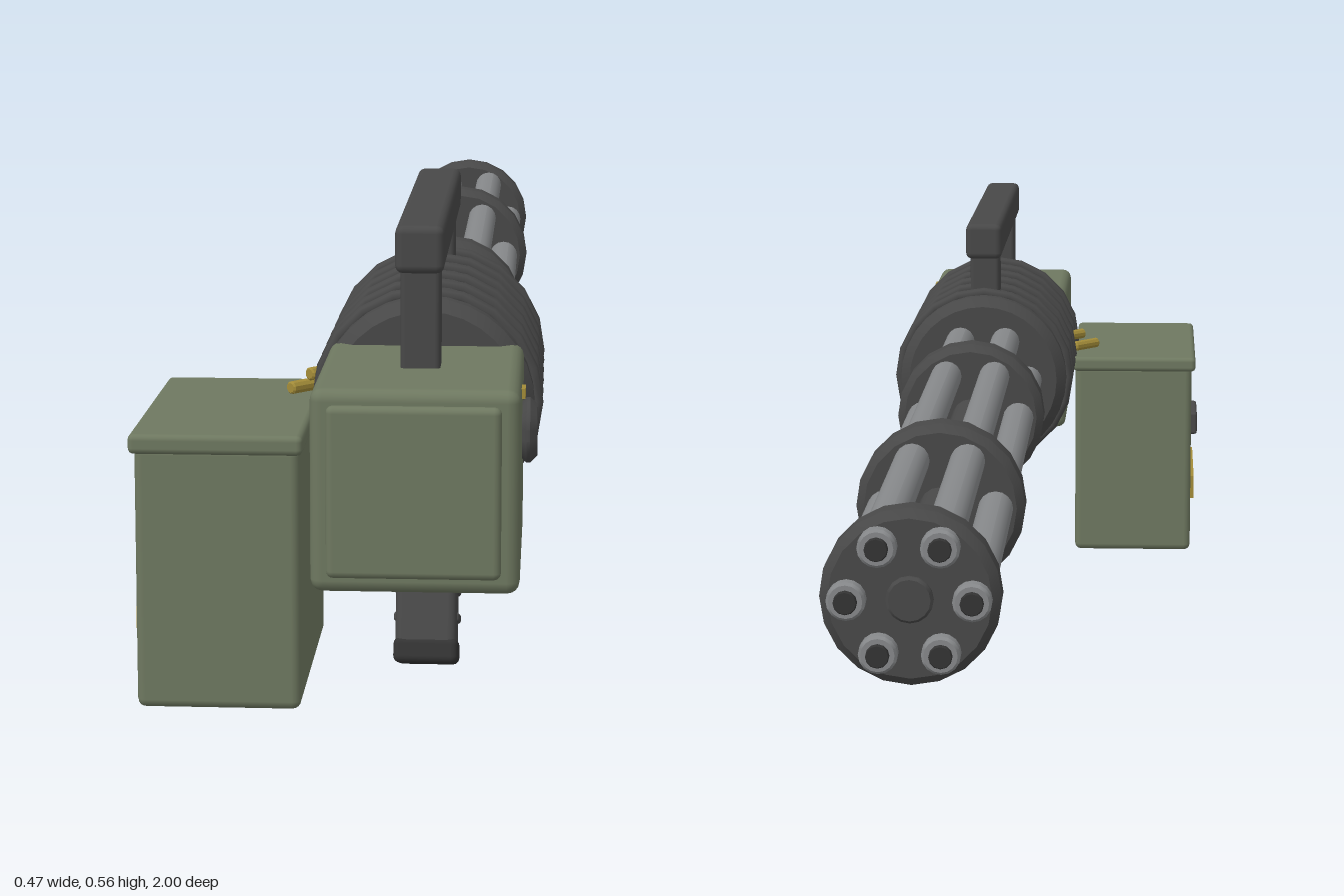
import * as THREE from 'three';
import { toCreasedNormals } from 'three/addons/utils/BufferGeometryUtils.js';
import { RoundedBoxGeometry } from 'three/addons/geometries/RoundedBoxGeometry.js';

const AX = 0.096, AY = 0.331; // barrel axis

export function createModel() {
  const group = new THREE.Group();
  const mat = (name, color) => {
    const m = new THREE.MeshStandardMaterial({ color });
    m.name = name;
    return m;
  };
  const green = mat('olive paint', 0x6e7860);
  const dark = mat('dark metal', 0x484848);
  const black = mat('black rubber', 0x333333);
  const steel = mat('barrel steel', 0x86888a);
  const brass = mat('brass', 0xa38c38);

  const add = (name, geo, material, x = 0, y = 0, z = 0, parent = group) => {
    const mesh = new THREE.Mesh(geo, material);
    mesh.name = name;
    mesh.position.set(x, y, z);
    parent.add(mesh);
    return mesh;
  };
  // Box given by its limits on each axis, with softened edges
  const block = (name, [x0, x1], [y0, y1], [z0, z1], material, r = 0.008, parent = group) =>
    add(name, new RoundedBoxGeometry(x1 - x0, y1 - y0, z1 - z0, 2, r), material,
      (x0 + x1) / 2, (y0 + y1) / 2, (z0 + z1) / 2, parent);
  // Solid of revolution along z; profile is [radius, z], z increasing
  const turned = (profile, sides) => {
    const g = new THREE.LatheGeometry(profile.map(([r, z]) => new THREE.Vector2(r, z)), sides);
    return toCreasedNormals(g.rotateX(Math.PI / 2), 0.6);
  };
  const drum = (r, z0, z1, bevel, sides) => turned([
    [0, z0], [r - bevel, z0], [r, z0 + bevel], [r, z1 - bevel], [r - bevel, z1], [0, z1]], sides);

  // Round motor housing with cooling ribs
  add('housing', drum(0.126, 0.308, 0.722, 0.014, 32), dark, AX, AY, 0);
  for (let i = 0; i < 6; i++) {
    add('housingRib', new THREE.TorusGeometry(0.128, 0.008, 8, 20), dark, AX, AY, 0.345 + i * 0.0675);
  }

  // Six barrels around a central shaft
  for (let i = 0; i < 6; i++) {
    const a = (i * Math.PI) / 3;
    const x = AX + 0.068 * Math.cos(a), y = AY + 0.068 * Math.sin(a);
    add('barrel', drum(0.0215, -0.994, 0.33, 0.003, 16), steel, x, y, 0);
    add('muzzleBore', drum(0.013, -1, -0.98, 0.001, 12), black, x, y, 0);
  }
  add('centreShaft', drum(0.026, -0.985, 0.33, 0.003, 16), dark, AX, AY, 0);

  // Clamps holding the barrels together
  for (const [r, z0, z1] of [[0.104, 0.018, 0.07], [0.104, -0.548, -0.496], [0.099, -0.978, -0.932]]) {
    add('barrelClamp', drum(r, z0, z1, 0.01, 20), dark, AX, AY, 0);
  }

  // Rear box with cover plate, side knob and small marker
  block('rearBox', [-0.017, 0.209], [0.179, 0.403], [0.69, 0.992], green, 0.014);
  block('rearCover', [0.001, 0.189], [0.197, 0.386], [0.97, 1], green, 0.008);
  const knob = add('sideKnob', drum(0.037, 0, 0.02, 0.008, 18), dark, 0.206, 0.33, 0.838);
  knob.rotation.y = Math.PI / 2;
  add('sideMarker', new THREE.BoxGeometry(0.008, 0.011, 0.026), brass, 0.209, 0.385, 0.9);

  // Carrying handle
  block('handleBar', [0.069, 0.123], [0.512, 0.565], [0.334, 0.891], dark, 0.009);
  for (const z of [0.388, 0.84]) {
    block('handlePost', [0.074, 0.118], [0.39, 0.53], [z - 0.025, z + 0.025], dark, 0.006);
  }

  // Tilted pistol grip with finger ridges and an end cap
  const grip = new THREE.Group();
  grip.name = 'grip';
  grip.position.set(AX, 0.12, 0.65);
  grip.rotation.x = -0.31;
  group.add(grip);
  block('gripBody', [-0.036, 0.036], [-0.105, 0.12], [-0.041, 0.041], dark, 0.01, grip);
  block('gripCap', [-0.038, 0.038], [-0.114, -0.084], [-0.043, 0.043], black, 0.008, grip);
  for (let i = 0; i < 4; i++) {
    const y = -0.065 + i * 0.033;
    block('gripRidge', [-0.039, 0.039], [y, y + 0.012], [-0.047, 0.02], dark, 0.004, grip);
  }
  const trigger = block('trigger', [AX - 0.01, AX + 0.01], [0.165, 0.22], [0.527, 0.547], dark, 0.004);
  trigger.rotation.x = -0.2;

  // Ammunition box with lid, latch and stripe
  block('ammoBox', [-0.224, -0.038], [0.009, 0.312], [0.538, 0.872], green, 0.01);
  block('ammoLid', [-0.23, -0.034], [0.304, 0.327], [0.531, 0.879], green, 0.007);
  block('ammoLatch', [-0.235, -0.22], [0.179, 0.215], [0.648, 0.757], dark, 0.004);
  add('ammoStripe', new THREE.BoxGeometry(0.008, 0.037, 0.23), brass, -0.226, 0.102, 0.71);

  // Feed cartridges between the ammunition box and the housing
  for (const [x, y, z] of [[-0.052, 0.334, 0.613], [-0.03, 0.35, 0.607]]) {
    const round = add('cartridge', drum(0.008, -0.027, 0.027, 0.002, 10), brass, x, y, z);
    round.rotation.y = -0.72;
  }
  return group;
}
